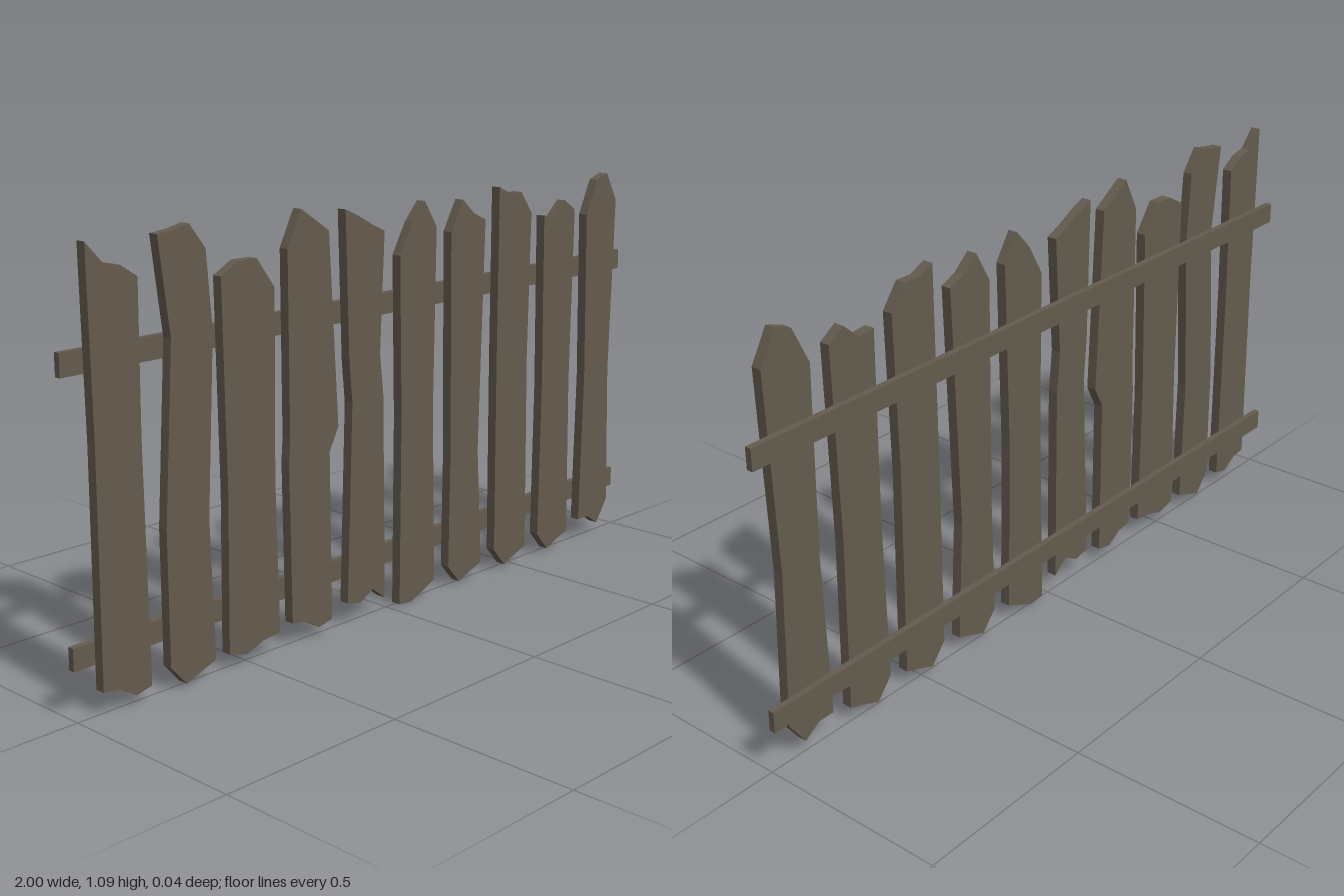
import * as THREE from 'three';

const wood = new THREE.MeshStandardMaterial({ color: 0x645b4e });
wood.name = 'weathered wood';

const BACK = -0.005, THICK = 0.027;
const SPACING = 0.194, WIDTH = 0.137;

// Heights along the foot of a plank, left to right
const cuts = {
  sloped: [0.065, 0.058, 0.03, 0.04],
  pointed: [0.065, 0.012, 0.03, 0.045],
  shallow: [0.045, 0.03, 0.05, 0.055],
  notched: [0.065, 0.055, 0.08, 0.045],
  low: [0.01, 0.005, 0.025, 0.045],
  clipped: [0.065, 0.065, 0.035, 0.1],
};

// Board outline: feet and tops are spread evenly over the width;
// each bend is [height, shift of left edge, shift of right edge], lowest first
function makePlank(index, foot, top, bends, width = WIDTH) {
  const x0 = (index - 4.5) * SPACING - width / 2;
  const across = (heights) => heights.map((y, i) => new THREE.Vector2(x0 + width * i / 3, y));
  const rightEdge = bends.map(([y, , shift]) => new THREE.Vector2(x0 + width + shift, y));
  const leftEdge = bends.map(([y, shift]) => new THREE.Vector2(x0 + shift, y)).reverse();
  const shape = new THREE.Shape([
    ...across(cuts[foot]), ...rightEdge, ...across(top).reverse(), ...leftEdge,
  ]);
  const geometry = new THREE.ExtrudeGeometry(shape, { depth: THICK, bevelEnabled: false });
  geometry.translate(0, 0, BACK);
  const plank = new THREE.Mesh(geometry, wood);
  plank.name = `plank${index + 1}`;
  return plank;
}

export function createModel() {
  const fence = new THREE.Group();
  fence.name = 'fence';

  // Ragged upright boards, from the fence's right to its left
  fence.add(
    makePlank(0, 'sloped', [1.08, 1.03, 1.02, 0.99], [[0.63, 0.005, -0.005]]),
    makePlank(1, 'pointed', [1.075, 1.08, 1.09, 1.03], [[0.4, 0, -0.01], [0.84, 0.03, 0.015]]),
    makePlank(2, 'shallow', [0.96, 0.99, 0.99, 0.915], [[0.45, 0.007, -0.008]], 0.165),
    makePlank(3, 'sloped', [1, 1.09, 1.06, 1.03], [[0.48, -0.005, -0.004], [0.54, 0, 0.027]]),
    makePlank(4, 'notched', [1.075, 1.055, 1.03, 1.01], [[0.59, 0.02, -0.005], [0.7, 0.01, -0.017]]),
    makePlank(5, 'low', [0.94, 1.02, 1.07, 1], [[0.52, 0.006, -0.01]]),
    makePlank(6, 'pointed', [0.98, 1.06, 1.02, 1], [[0.37, 0.005, -0.02]]),
    makePlank(7, 'pointed', [1.08, 1.06, 1.06, 1], [[0.6, -0.002, -0.008]]),
    makePlank(8, 'pointed', [0.985, 0.98, 1.02, 0.99], [[0.5, 0.006, -0.008]]),
    makePlank(9, 'clipped', [0.97, 1.065, 1.08, 1], [[0.5, 0.01, -0.014]]),
  );

  // Two rails behind the boards
  for (const [name, y] of [['lowerRail', 0.152], ['upperRail', 0.819]]) {
    const rail = new THREE.Mesh(new THREE.BoxGeometry(2, 0.055, 0.017), wood);
    rail.name = name;
    rail.position.set(0, y, -0.0135);
    fence.add(rail);
  }
  return fence;
}
